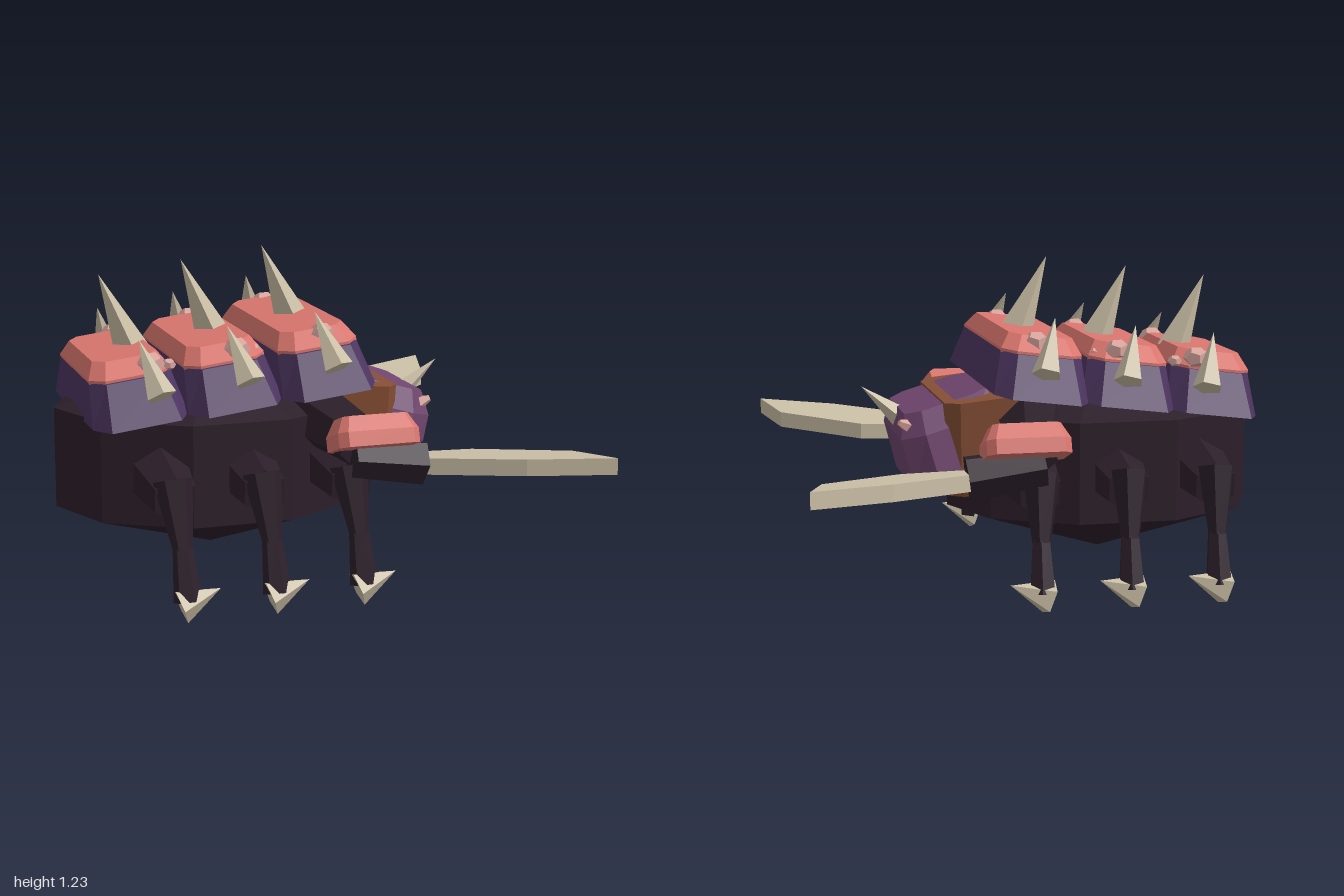
import * as THREE from 'three';

const mat = (name, color, flat = true) => {
  const m = new THREE.MeshStandardMaterial({ color });
  m.name = name;
  m.flatShading = flat;
  return m;
};

export function createModel() {
  const root = new THREE.Group();
  root.name = 'armouredBeetle';
  const dark = mat('dark hide', 0x2c1f2a);
  const purple = mat('shell purple', 0x4d3560);
  const mauve = mat('head mauve', 0x70466f);
  const pink = mat('coral pink', 0xd9766e);
  const bone = mat('bone', 0xcbbfa6);
  const brown = mat('neck brown', 0x874f36);
  const pale = mat('pale pink', 0xd8a69e);
  const V = (p) => new THREE.Vector3(...p);

  const add = (name, geo, material, pos = [0, 0, 0], parent = root) => {
    const m = new THREE.Mesh(geo, material);
    m.name = name;
    m.position.set(...pos);
    parent.add(m);
    return m;
  };

  // Tapered bar from a to b (radius 0 at the end makes a spike)
  const bar = (name, a, b, r0, r1, sides, material, parent = root) => {
    const A = V(a), B = V(b), d = B.clone().sub(A);
    const g = new THREE.CylinderGeometry(r1, r0, d.length(), sides);
    const m = add(name, g, material, A.clone().add(B).multiplyScalar(0.5).toArray(), parent);
    m.quaternion.setFromUnitVectors(new THREE.Vector3(0, 1, 0), d.normalize());
    return m;
  };

  // Stack of corner-cut rectangles; ring = [y, halfX, halfZ, cutX, cutZ, shiftX]
  const loft = (rings) => {
    const pos = [], idx = [];
    for (const [y, hx, hz, cx, cz, sx = 0] of rings) {
      for (const [x, z] of [[hx, hz - cz], [hx - cx, hz], [cx - hx, hz], [-hx, hz - cz],
        [-hx, cz - hz], [cx - hx, -hz], [hx - cx, -hz], [hx, cz - hz]]) pos.push(x + sx, y, z);
    }
    for (let r = 0; r < rings.length - 1; r++) {
      for (let i = 0; i < 8; i++) {
        const b = r * 8 + i, c = r * 8 + (i + 1) % 8;
        idx.push(b, b + 8, c, b + 8, c + 8, c);
      }
    }
    const t = (rings.length - 1) * 8;
    for (let i = 1; i < 7; i++) idx.push(0, i, i + 1, t, t + i + 1, t + i);
    const g = new THREE.BufferGeometry();
    g.setAttribute('position', new THREE.Float32BufferAttribute(pos, 3));
    g.setIndex(idx);
    const flat = g.toNonIndexed();
    flat.computeVertexNormals();
    return flat;
  };

  // Body: ten-sided belly with a pointed underside
  const belly = new THREE.SphereGeometry(1, 10, 3);
  belly.scale(0.704, 0.385, 0.558);
  add('body', belly, dark, [-0.32, 0.465, 0]);

  // Three shell segments, each with a coral cap, spikes and lumps
  for (let i = 0; i < 3; i++) {
    const hz = 0.45 + 0.053 * i, x = -0.675 + 0.345 * i, y = 0.665 + 0.045 * i;
    const seg = new THREE.Group();
    seg.name = 'shellSegment';
    root.add(seg);
    const plate = add('shellPlate', loft([
      [0, 0.18, hz, 0.05, 0.1], [0.155, 0.155, hz - 0.11, 0.05, 0.08],
    ]), purple, [x, y, 0], seg);
    const cap = add('shellCap', loft([
      [0.12, 0.155, hz - 0.125, 0.05, 0.06], [0.165, 0.155, hz - 0.125, 0.05, 0.06],
      [0.222, 0.122, hz - 0.19, 0.04, 0.05],
    ]), pink, [x, y, 0], seg);
    plate.rotation.z = cap.rotation.z = 0.125;

    const sx = 0.32 * i, sy = 0.042 * i;
    bar('backSpike', [-0.625 + sx, 0.86 + sy, 0], [-0.748 + sx, 1.158 + sy, 0], 0.068, 0, 4, bone, seg);
    for (const s of [1, -1]) {
      const sz = 0.045 * i;
      bar('sideSpike', [-0.625 + sx, 0.775 + sy, s * (0.46 + sz)],
        [-0.68 + sx, 0.97 + sy, s * (0.35 + sz)], 0.058, 0, 5, bone, seg);
      for (const [dx, dy, dz, r] of [[0, 0, 0, 0.052], [0.075, -0.015, -0.035, 0.028]]) {
        const lump = add('lump', new THREE.DodecahedronGeometry(r), pale,
          [-0.625 + sx + dx, 0.87 + sy + dy, s * (0.31 + 0.028 * i + dz)], seg);
        lump.scale.y = 0.8;
      }
    }
  }

  // Neck and head
  const neck = add('neck', loft([
    [0, 0.17, 0.27, 0.05, 0.06], [0.09, 0.18, 0.31, 0.05, 0.06], [0.37, 0.16, 0.34, 0.05, 0.06],
  ]), brown, [0.15, 0.37, 0]);
  neck.rotation.z = -0.1;
  const head = add('head', loft([
    [0, 0.195, 0.32, 0.09, 0.07], [0.2, 0.19, 0.285, 0.09, 0.06], [0.285, 0.165, 0.24, 0.06, 0.05, -0.02],
  ]), mauve, [0.265, 0.44, 0]);
  head.rotation.z = -0.29;
  bar('noseHorn', [0.445, 0.605, 0], [0.622, 0.752, 0], 0.05, 0, 4, bone);

  for (const s of [1, -1]) {
    const at = (x, y, z) => [x, y, s * z];
    bar('browNub', at(0.44, 0.61, 0.2), at(0.51, 0.645, 0.22), 0.042, 0.012, 5, pale);

    // Arm: upper arm, forearm, coral pad and broad pincer blade
    const arm = new THREE.Group();
    arm.name = 'arm';
    root.add(arm);
    bar('upperArm', at(0.02, 0.63, 0.3), at(0.09, 0.585, 0.62), 0.13, 0.1, 6, dark, arm);
    bar('forearm', at(0.04, 0.535, 0.62), at(0.32, 0.495, 0.6), 0.075, 0.09, 6, dark, arm);
    const pad = add('armPad', loft([
      [-0.055, 0.155, 0.1, 0.03, 0.03], [0, 0.155, 0.1, 0.03, 0.03], [0.06, 0.125, 0.07, 0.02, 0.02],
    ]), pink, at(0.117, 0.63, 0.64), arm);
    pad.rotation.x = -s * 0.35;

    const outline = [[0.18, 0.47], [0.555, 0.535], [0.865, 0.76], [0.93, 0.995], [0.63, 0.87], [0.325, 0.67]];
    const blade = new THREE.ExtrudeGeometry(
      new THREE.Shape(outline.map(([x, z]) => new THREE.Vector2(x, s * z))),
      { depth: 0.062, bevelEnabled: false });
    blade.rotateX(Math.PI / 2);
    const p = blade.attributes.position;
    for (let i = 0; i < p.count; i++) {
      p.setY(i, p.getY(i) + 0.505 + 0.1 * (Math.abs(p.getZ(i)) - 0.47));
    }
    blade.computeVertexNormals();
    add('pincerBlade', blade, bone, [0, 0, 0], arm);

    // Three legs with pinched shins and pointed claws
    for (let i = 0; i < 3; i++) {
      const x = -0.615 + 0.333 * i;
      const leg = new THREE.Group();
      leg.name = 'leg';
      root.add(leg);
      bar('thigh', at(x, 0.46, 0.38), at(x, 0.43, 0.6), 0.115, 0.085, 6, dark, leg);
      bar('upperShin', at(x - 0.005, 0.5, 0.59), at(x + 0.01, 0.26, 0.665), 0.072, 0.036, 6, dark, leg);
      bar('lowerShin', at(x + 0.01, 0.27, 0.66), at(x + 0.015, 0.08, 0.71), 0.036, 0.052, 6, dark, leg);
      bar('claw', at(x - 0.012, 0.068, 0.71), at(x + 0.135, 0.122, 0.715), 0.067, 0, 5, bone, leg);
    }
  }
  return root;
}
